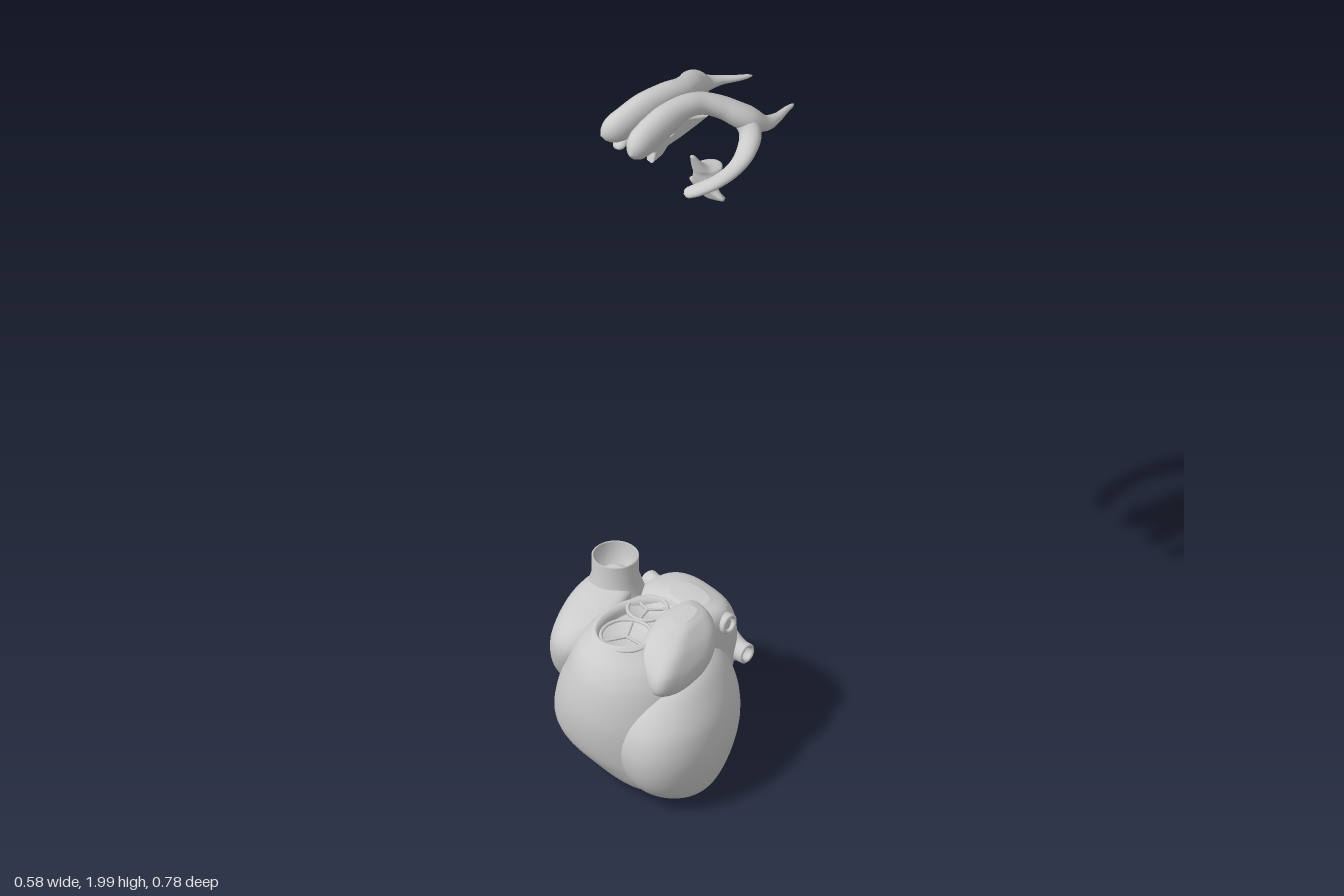
import * as THREE from 'three';

const material = new THREE.MeshStandardMaterial({ color: 0xcccccc, side: THREE.DoubleSide });
const V = (x, y, z) => new THREE.Vector3(x, y, z);

function addMesh(parent, name, geometry) {
  const mesh = new THREE.Mesh(geometry, material);
  mesh.name = name;
  parent.add(mesh);
  return mesh;
}

// Smooth closed skin over a list of equal rings of points.
function loft(rings) {
  const n = rings[0].length, m = rings.length, pos = [], idx = [];
  rings.forEach(r => r.forEach(p => pos.push(p.x, p.y, p.z)));
  for (const r of [rings[0], rings[m - 1]]) {
    const c = r.reduce((s, p) => s.add(p), V(0, 0, 0)).divideScalar(n);
    pos.push(c.x, c.y, c.z);
  }
  for (let j = 0; j < n; j++) {
    const k = (j + 1) % n;
    for (let i = 0; i < m - 1; i++) {
      const a = i * n + j, b = i * n + k;
      idx.push(a, a + n, b, b, a + n, b + n);
    }
    idx.push(m * n, j, k, m * n + 1, (m - 1) * n + k, (m - 1) * n + j);
  }
  const g = new THREE.BufferGeometry();
  g.setAttribute('position', new THREE.Float32BufferAttribute(pos, 3));
  g.setIndex(idx);
  g.computeVertexNormals();
  return g;
}

// Stack of level rings, each row: y, xMin, xMax, zMin, zMax.
function stack(rows, { power = 1, shear = 0, wobble = 0, n = 56, steps = 48 } = {}) {
  const lo = new THREE.CatmullRomCurve3(rows.map(r => V(r[1], r[0], r[3])));
  const hi = new THREE.CatmullRomCurve3(rows.map(r => V(r[2], r[0], r[4])));
  const bend = c => Math.sign(c) * Math.abs(c) ** power;
  const rings = [];
  for (let i = 0; i <= steps; i++) {
    const a = lo.getPoint(i / steps), b = hi.getPoint(i / steps), ring = [];
    for (let j = 0; j < n; j++) {
      const t = j / n * Math.PI * 2;
      const k = 1 + wobble * Math.sin(5 * t + 7 * i / steps);
      const dz = (b.z - a.z) / 2 * bend(Math.sin(t)) * k;
      const dx = (b.x - a.x) / 2 * bend(Math.cos(t)) * k + shear * dz;
      ring.push(V((a.x + b.x) / 2 + dx, (a.y + b.y) / 2, (a.z + b.z) / 2 + dz));
    }
    rings.push(ring);
  }
  return loft(rings);
}

// Horn of changing oval section, each row: x, y, z, side radius, height radius.
function horn(rows, n = 24, steps = 70) {
  const path = new THREE.CatmullRomCurve3(rows.map(r => V(r[0], r[1], r[2])));
  const size = new THREE.CatmullRomCurve3(rows.map(r => V(r[3], r[4], 0)));
  const rings = [];
  for (let i = 0; i <= steps; i++) {
    const s = i / steps, p = path.getPoint(s), t = path.getTangent(s), r = size.getPoint(s);
    const side = V(1, 0, 0).addScaledVector(t, -t.x).normalize();
    const up = side.clone().cross(t);
    const e = Math.min(1, Math.min(s, 1 - s) / 0.06);
    const round = Math.sqrt(1 - (1 - e) ** 2);
    rings.push(Array.from({ length: n }, (_, j) => {
      const a = j / n * Math.PI * 2;
      return p.clone().addScaledVector(side, Math.cos(a) * r.x * round)
        .addScaledVector(up, Math.sin(a) * r.y * round);
    }));
  }
  return loft(rings);
}

// Hollow vessel, flared at its root, with a rounded lip at its far end.
function vessel(parent, name, from, to, r0, r1, wall) {
  const dir = to.clone().sub(from), h = dir.length();
  const profile = [[r0, 0], [r0 * 0.45 + r1 * 0.55, h * 0.3], [r1, h * 0.65], [r1, h - wall * 0.5],
    [r1 - wall * 0.5, h], [r1 - wall, h - wall * 0.5], [r1 - wall, h * 0.5], [0.0001, h * 0.5]];
  const mesh = addMesh(parent, name, new THREE.LatheGeometry(profile.map(p => new THREE.Vector2(...p)), 36));
  mesh.position.copy(from);
  mesh.quaternion.setFromUnitVectors(V(0, 1, 0), dir.normalize());
}

// Three-leaflet valve: ring, dished leaflets and the ribs where they meet.
function valve(parent, name, x, y, z, r, turn) {
  const g = new THREE.Group();
  g.name = name;
  g.position.set(x, y, z);
  g.rotation.y = turn;
  addMesh(g, 'valveRing', new THREE.TorusGeometry(r, 0.005, 10, 40).rotateX(Math.PI / 2));
  const bowl = [0, 0.4, 0.8, 1].map(k => new THREE.Vector2(r * k + 0.0001, -0.014 * (1 - k * k)));
  addMesh(g, 'leaflets', new THREE.LatheGeometry(bowl, 36));
  for (let i = 0; i < 3; i++) {
    const rib = addMesh(g, 'leafletRib',
      new THREE.CapsuleGeometry(0.004, r, 4, 8).rotateZ(Math.PI / 2).translate(r / 2, -0.004, 0));
    rib.rotation.y = i * Math.PI * 2 / 3;
  }
  parent.add(g);
}

function buildHeart() {
  const heart = new THREE.Group();
  heart.name = 'heart';
  addMesh(heart, 'rightVentricle', stack([
    [0.016, 0.1, 0.2, 0.12, 0.22], [0.045, 0, 0.215, 0.08, 0.295], [0.1, -0.12, 0.22, 0.05, 0.345],
    [0.15, -0.195, 0.22, 0.02, 0.375], [0.25, -0.18, 0.215, 0, 0.39], [0.35, -0.14, 0.19, 0, 0.375],
    [0.4, -0.12, 0.16, 0.02, 0.352], [0.437, -0.095, 0.12, 0.04, 0.315], [0.453, -0.078, 0.102, 0.045, 0.297],
    [0.445, -0.066, 0.094, 0.05, 0.29], [0.422, -0.06, 0.088, 0.055, 0.285]]));
  addMesh(heart, 'leftVentricle', stack([
    [0.008, 0.15, 0.19, 0.1, 0.16], [0.025, 0.07, 0.24, 0.04, 0.24], [0.08, 0, 0.27, -0.03, 0.315],
    [0.17, -0.04, 0.286, -0.07, 0.345], [0.25, -0.04, 0.274, -0.068, 0.335], [0.32, -0.03, 0.235, -0.04, 0.29],
    [0.36, 0.02, 0.195, 0.02, 0.22], [0.372, 0.07, 0.15, 0.08, 0.16]], { shear: 0.22 }));
  addMesh(heart, 'leftAtrium', stack([
    [0.12, -0.04, 0.06, -0.04, 0.05], [0.15, -0.1, 0.1, -0.08, 0.1], [0.22, -0.15, 0.12, -0.112, 0.13],
    [0.3, -0.17, 0.122, -0.132, 0.13], [0.38, -0.16, 0.122, -0.12, 0.1], [0.43, -0.12, 0.11, -0.09, 0.065],
    [0.455, -0.04, 0.07, -0.04, 0.03]], { power: 0.75 }));
  // The right atrium narrows towards its front
  addMesh(heart, 'rightAtrium', stack([
    [0.08, -0.23, -0.13, 0.035, 0.13], [0.13, -0.255, -0.14, 0.01, 0.18], [0.2, -0.265, -0.155, -0.015, 0.255],
    [0.28, -0.268, -0.125, -0.02, 0.308], [0.36, -0.264, -0.09, -0.015, 0.32], [0.41, -0.25, -0.085, 0, 0.285],
    [0.44, -0.23, -0.1, 0.02, 0.2], [0.455, -0.215, -0.13, 0.05, 0.13]],
    { power: 0.9, shear: 0.3, wobble: 0.012 }));
  addMesh(heart, 'leftAuricle', stack([
    [0.335, 0.13, 0.19, 0.11, 0.235], [0.36, 0.075, 0.205, 0.035, 0.262], [0.4, 0.045, 0.204, 0.005, 0.262],
    [0.44, 0.035, 0.185, 0, 0.235], [0.47, 0.045, 0.155, 0.015, 0.19], [0.487, 0.08, 0.125, 0.05, 0.13]],
    { power: 0.8, shear: 0.2, wobble: 0.025 }));

  // Great veins flow out of the right atrium
  vessel(heart, 'upperVein', V(-0.175, 0.35, 0.085), V(-0.175, 0.522, 0.085), 0.105, 0.062, 0.006);
  vessel(heart, 'lowerVein', V(-0.175, 0.2, 0.08), V(-0.175, 0.05, 0.08), 0.095, 0.06, 0.006);
  // Lung veins on both sides of the left atrium
  for (const [y, z] of [[0.4, -0.045], [0.275, -0.105]]) {
    vessel(heart, 'leftLungVein', V(0.06, y, z + 0.01), V(0.13, y, z), 0.045, 0.028, 0.01);
    vessel(heart, 'rightLungVein', V(-0.11, y - 0.03, z + 0.01), V(-0.195, y - 0.03, z), 0.045, 0.025, 0.01);
  }
  valve(heart, 'frontValve', 0.03, 0.444, 0.225, 0.068, 0.1);
  valve(heart, 'rearValve', -0.02, 0.446, 0.11, 0.052, 0.9);
  return heart;
}

function buildBrainVentricles() {
  const brain = new THREE.Group();
  brain.name = 'brainVentricles';
  brain.position.x = -0.1;

  // Paired side cavities: front-to-back body and the lower horn curling forward
  const body = horn([
    [0.058, 1.918, 0.15, 0.02, 0.026], [0.045, 1.932, 0.1, 0.034, 0.045], [0.039, 1.952, 0.03, 0.035, 0.047],
    [0.036, 1.964, -0.05, 0.032, 0.033], [0.04, 1.951, -0.11, 0.033, 0.029], [0.062, 1.926, -0.16, 0.036, 0.03],
    [0.098, 1.888, -0.21, 0.04, 0.034], [0.115, 1.855, -0.26, 0.026, 0.021], [0.108, 1.843, -0.31, 0.014, 0.012],
    [0.092, 1.836, -0.355, 0.009, 0.008], [0.081, 1.831, -0.394, 0.005, 0.005]]);
  const lower = horn([
    [0.09, 1.895, -0.205, 0.03, 0.03], [0.13, 1.862, -0.2, 0.03, 0.028], [0.157, 1.832, -0.16, 0.027, 0.02],
    [0.17, 1.812, -0.11, 0.022, 0.016], [0.168, 1.798, -0.05, 0.021, 0.014], [0.15, 1.786, -0.005, 0.021, 0.013],
    [0.128, 1.775, 0.028, 0.016, 0.01]]);
  for (const side of [1, -1]) {
    const half = new THREE.Group();
    half.name = side > 0 ? 'leftSideVentricle' : 'rightSideVentricle';
    half.scale.x = side;
    addMesh(half, 'ventricleBody', body);
    addMesh(half, 'lowerHorn', lower);
    brain.add(half);
  }

  // Thin middle cavity with a round opening
  const outline = [[0.03, 1.87], [0, 1.9], [-0.06, 1.905], [-0.12, 1.88], [-0.155, 1.87], [-0.11, 1.86], [-0.06, 1.85],
    [-0.02, 1.845], [0, 1.825], [0.03, 1.815], [0.02, 1.843], [0.038, 1.85]];
  const shape = new THREE.Shape(outline.map(p => new THREE.Vector2(...p)));
  shape.holes.push(new THREE.Path().absarc(-0.03, 1.88, 0.014, 0, Math.PI * 2, true));
  const middle = new THREE.ExtrudeGeometry(shape, {
    depth: 0.012, bevelThickness: 0.007, bevelSize: 0.004, bevelSegments: 3, curveSegments: 20 });
  addMesh(brain, 'middleVentricle', middle.translate(0, 0, -0.006).rotateY(-Math.PI / 2));

  // Tent-shaped rear cavity with side recesses
  addMesh(brain, 'rearVentricle', stack([
    [1.572, -0.014, 0.014, -0.222, -0.205], [1.6, -0.03, 0.03, -0.202, -0.16], [1.622, -0.066, 0.066, -0.18, -0.15],
    [1.645, -0.046, 0.046, -0.18, -0.138], [1.672, -0.036, 0.036, -0.19, -0.13], [1.69, -0.033, 0.033, -0.21, -0.126],
    [1.705, -0.025, 0.025, -0.162, -0.122], [1.755, -0.005, 0.005, -0.12, -0.108]], { n: 24 }));
  return brain;
}

export function createModel() {
  const model = new THREE.Group();
  model.name = 'heartAndBrainVentricles';
  model.add(buildHeart(), buildBrainVentricles());
  return model;
}
